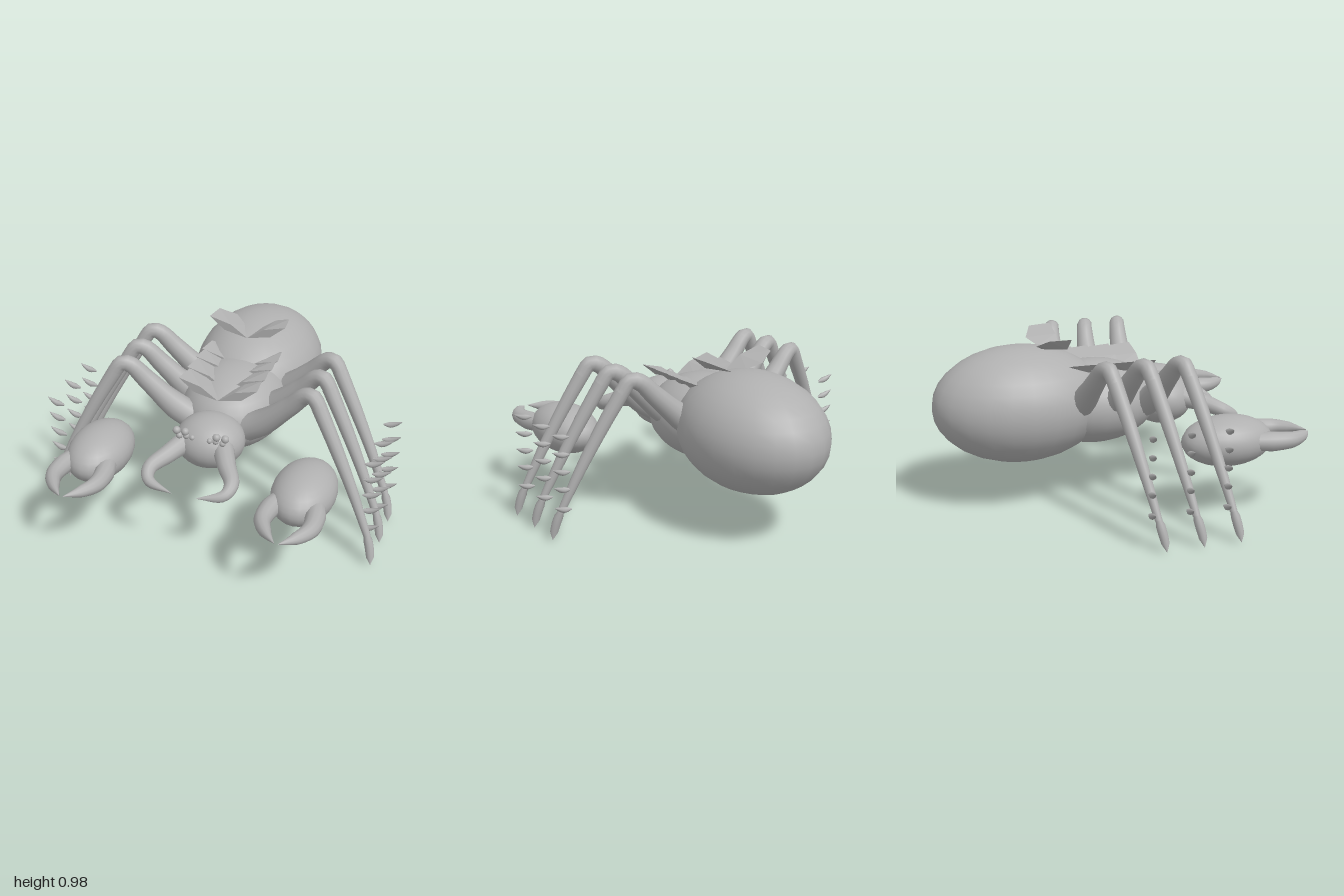
import * as THREE from 'three';
import { ConvexGeometry } from 'three/addons/geometries/ConvexGeometry.js';

const V = (x, y, z) => new THREE.Vector3(x, y, z);

export function createModel() {
  const model = new THREE.Group();
  const grey = new THREE.MeshStandardMaterial({ color: 0xb0b0b0 });
  grey.name = 'shell grey';

  const add = (parent, name, geometry, material = grey) => {
    const mesh = new THREE.Mesh(geometry, material);
    mesh.name = name;
    parent.add(mesh);
    return mesh;
  };

  const ellipsoid = (parent, name, c, r, w = 24, h = 16) => {
    const mesh = add(parent, name, new THREE.SphereGeometry(1, w, h));
    mesh.position.set(...c);
    mesh.scale.set(...r);
    return mesh;
  };

  // Tube through points; its radius follows the list, ends are rounded off
  const limb = (parent, name, points, radii, segs = 20, sides = 12) => {
    const curve = new THREE.CatmullRomCurve3(points, false, 'centripetal');
    const geo = new THREE.TubeGeometry(curve, segs, 1, sides);
    const pos = geo.attributes.position;
    const p = V(0, 0, 0);
    for (let i = 0; i <= segs; i++) {
      const c = curve.getPointAt(i / segs);
      const f = (i / segs) * (radii.length - 1);
      const k = Math.min(Math.floor(f), radii.length - 2);
      const r = THREE.MathUtils.lerp(radii[k], radii[k + 1], f - k);
      for (let j = 0; j <= sides; j++) {
        const n = i * (sides + 1) + j;
        p.fromBufferAttribute(pos, n).sub(c).multiplyScalar(r).add(c);
        pos.setXYZ(n, p.x, p.y, p.z);
      }
    }
    return add(parent, name, geo);
  };

  // Body
  ellipsoid(model, 'abdomen', [0, 0.59, -0.5], [0.37, 0.33, 0.5]);
  ellipsoid(model, 'thorax', [0, 0.57, -0.07], [0.3, 0.24, 0.37]);
  ellipsoid(model, 'head', [0, 0.55, 0.345], [0.195, 0.15, 0.185]);

  const plateMaterial = new THREE.MeshStandardMaterial({ color: 0xb0b0b0, flatShading: true });
  plateMaterial.name = 'plate grey';

  for (const s of [1, -1]) {
    const side = new THREE.Group();
    side.name = s > 0 ? 'leftSide' : 'rightSide';
    model.add(side);
    const P = (x, y, z) => V(s * x, y, z);

    // Curved jaws
    limb(side, 'mandible',
      [P(0.11, 0.57, 0.44), P(0.17, 0.54, 0.55), P(0.235, 0.5, 0.655), P(0.215, 0.465, 0.715), P(0.07, 0.435, 0.75)],
      [0.06, 0.052, 0.042, 0.028, 0.001], 24);

    // Eye cluster
    for (const [x, y, r] of [[0.14, 0.665, 0.022], [0.09, 0.665, 0.022], [0.125, 0.635, 0.018], [0.085, 0.64, 0.018], [0.05, 0.635, 0.015]])
      ellipsoid(side, 'eye', [s * x, y, 0.49], [r, r, r], 12, 8);

    // Claw palm with two fingers
    ellipsoid(side, 'clawPalm', [s * 0.595, 0.45, 0.51], [0.173, 0.14, 0.26]);
    for (const d of [1, -1]) {
      const F = (x, z) => V(s * 0.595 + d * x, 0.457, z);
      const finger = limb(side, 'clawFinger',
        [F(0.095, 0.62), F(0.125, 0.74), F(0.125, 0.84), F(0.08, 0.925), F(0.01, 1)],
        [0.05, 0.055, 0.047, 0.033, 0.001], 20);
      finger.name = d * s > 0 ? 'outerClawFinger' : 'innerClawFinger';
    }

    // Three legs, each with a foot and a row of spines
    for (let i = 0; i < 3; i++) {
      const leg = new THREE.Group();
      leg.name = 'leg';
      leg.position.z = 0.21 * (i - 1);
      side.add(leg);
      limb(leg, 'thigh',
        [P(0.16, 0.57, -0.02), P(0.27, 0.645, 0), P(0.42, 0.785, 0.022), P(0.51, 0.875, 0.04), P(0.555, 0.885, 0.055), P(0.605, 0.82, 0.072)],
        [0.078, 0.076, 0.062, 0.054, 0.046, 0.04], 22);
      limb(leg, 'shin',
        [P(0.59, 0.842, 0.068), P(0.7, 0.645, 0.11), P(0.82, 0.41, 0.155), P(0.928, 0.17, 0.2)],
        [0.042, 0.037, 0.03, 0.02], 12);
      limb(leg, 'foot',
        [P(0.92, 0.19, 0.197), P(0.945, 0.12, 0.212), P(0.958, 0.06, 0.225), P(0.965, 0.004, 0.235)],
        [0.012, 0.025, 0.025, 0.022, 0.001], 12);
      for (const y of [0.62, 0.52, 0.42, 0.32, 0.205]) {
        limb(leg, 'spine',
          [P(0.88, y - 0.015, 0.165), P(0.93, y - 0.008, 0.165), P(0.985, y + 0.017, 0.16)],
          [0.004, 0.018, 0.013, 0.001], 8, 8);
      }
    }

    // Overlapping back plates; the last sits higher on the abdomen
    const plate = new ConvexGeometry([
      P(0, 0, 0), P(0.1, 0.07, 0), P(0.14, 0.03, 0), P(0.23, 0.105, 0),
      P(0.05, 0.02, -0.12), P(0.12, 0.055, -0.17), P(0.215, 0.1, -0.125),
    ]);
    for (const [y, z] of [[0.73, 0.23], [0.73, 0.1], [0.73, -0.03], [0.73, -0.13], [0.88, -0.26]])
      add(side, 'backPlate', plate, plateMaterial).position.set(0, y, z);
  }
  return model;
}
